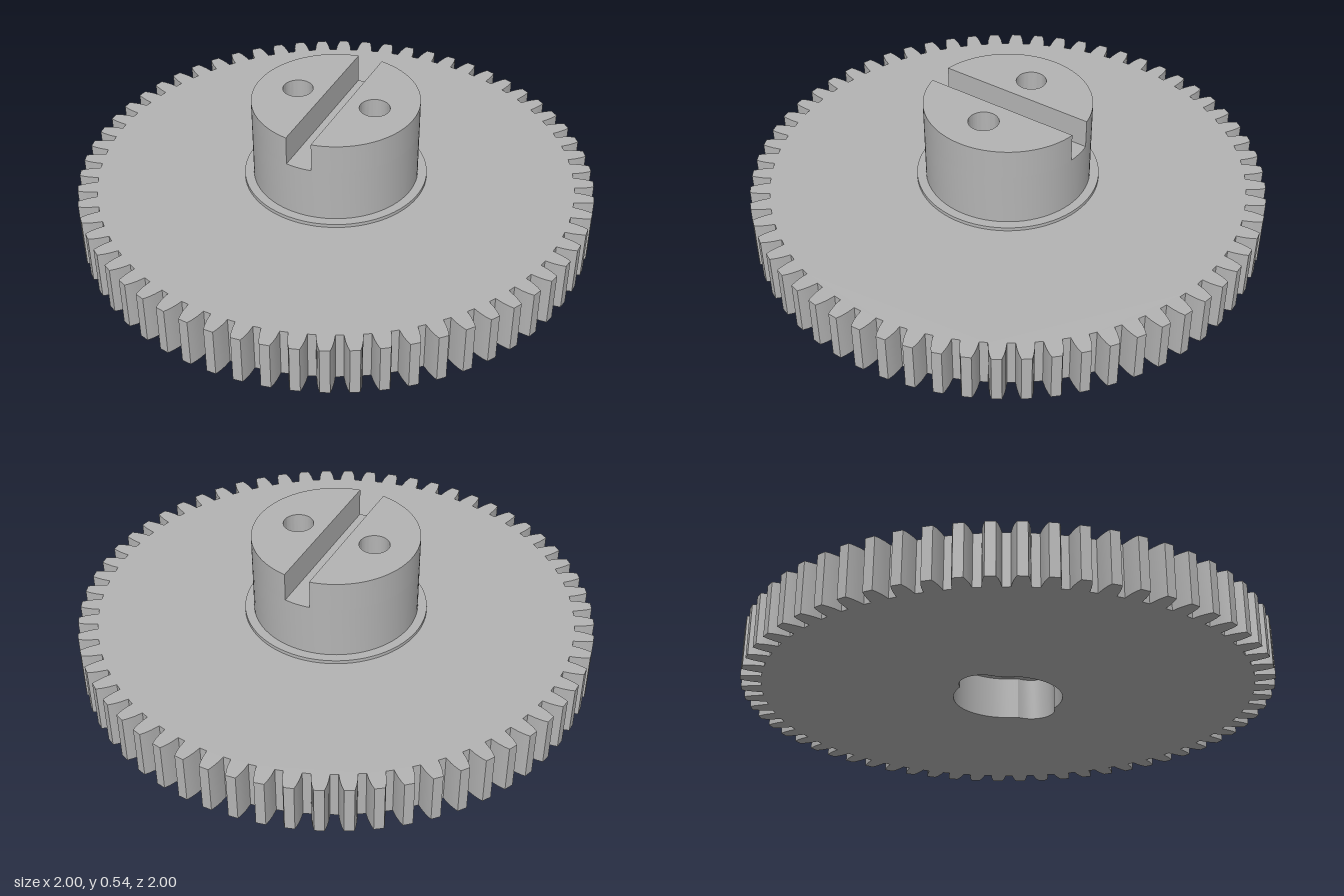
import * as THREE from 'three';
import { toCreasedNormals } from 'three/addons/utils/BufferGeometryUtils.js';

const TEETH = 62;
const HOLE_X = 0.16;

// Closed round path
function circle(PathType, x, r) {
  return new PathType().absarc(x, 0, r, 0, Math.PI * 2, false);
}

// Upright plate from y0 to y1, keeping edges sharp and curves smooth
function plate(name, shape, y0, y1, material) {
  const geo = new THREE.ExtrudeGeometry(shape, { depth: y1 - y0, bevelEnabled: false, curveSegments: 40 });
  geo.rotateX(-Math.PI / 2);
  geo.translate(0, y0, 0);
  const mesh = new THREE.Mesh(toCreasedNormals(geo, 0.4), material);
  mesh.name = name;
  return mesh;
}

// Toothed outline: rounded flanks from root to tip
function gearShape() {
  const flank = [[-0.035, 0.925], [-0.031, 0.955], [-0.025, 0.98], [-0.018, 1]];
  const tooth = [...flank, ...flank.map(([a, r]) => [-a, r]).reverse()];
  const points = [];
  for (let i = 0; i < TEETH; i++) {
    const mid = Math.PI / 2 + (i / TEETH) * Math.PI * 2;
    for (const [a, r] of tooth) points.push(new THREE.Vector2(Math.cos(mid + a) * r, Math.sin(mid + a) * r));
  }
  return new THREE.Shape(points);
}

// Round bore widened by a lobe on each side
function lobedBore() {
  const bore = 0.207, lobe = 0.09, points = [];
  for (let i = 0; i < 120; i++) {
    const t = (i / 120) * Math.PI * 2;
    const c = Math.abs(Math.cos(t)) * HOLE_X, s = Math.sin(t) * HOLE_X;
    const reach = Math.abs(s) < lobe ? c + Math.sqrt(lobe * lobe - s * s) : 0;
    const r = Math.max(bore, reach);
    points.push(new THREE.Vector2(Math.cos(t) * r, Math.sin(t) * r));
  }
  return new THREE.Path(points);
}

export function createModel() {
  const group = new THREE.Group();
  group.name = 'slottedGear';
  const steel = new THREE.MeshStandardMaterial({ color: 0xb4b4b4 });
  steel.name = 'greySteel';

  // Toothed wheel with the bore open underneath
  const wheel = gearShape();
  wheel.holes.push(lobedBore());
  group.add(plate('toothedWheel', wheel, 0, 0.195, steel));

  // Thin collar, which also forms the ledge inside the bore
  const collar = circle(THREE.Shape, 0, 0.355);
  collar.holes.push(circle(THREE.Path, 0, 0.185));
  group.add(plate('collar', collar, 0.165, 0.209, steel));

  // Hub below the slot, pierced by two round holes
  const hub = circle(THREE.Shape, 0, 0.32);
  for (const side of [-1, 1]) hub.holes.push(circle(THREE.Path, side * HOLE_X, 0.058));
  group.add(plate('hub', hub, 0.19, 0.42, steel));

  // Two hub halves either side of the slot
  const edge = Math.acos(0.05 / 0.32);
  for (const side of [-1, 1]) {
    const turn = side > 0 ? 0 : Math.PI;
    const half = new THREE.Shape().absarc(0, 0, 0.32, turn - edge, turn + edge, false);
    half.closePath();
    half.holes.push(circle(THREE.Path, side * HOLE_X, 0.058));
    group.add(plate(side > 0 ? 'leftHubHalf' : 'rightHubHalf', half, 0.42, 0.535, steel));
  }
  return group;
}
